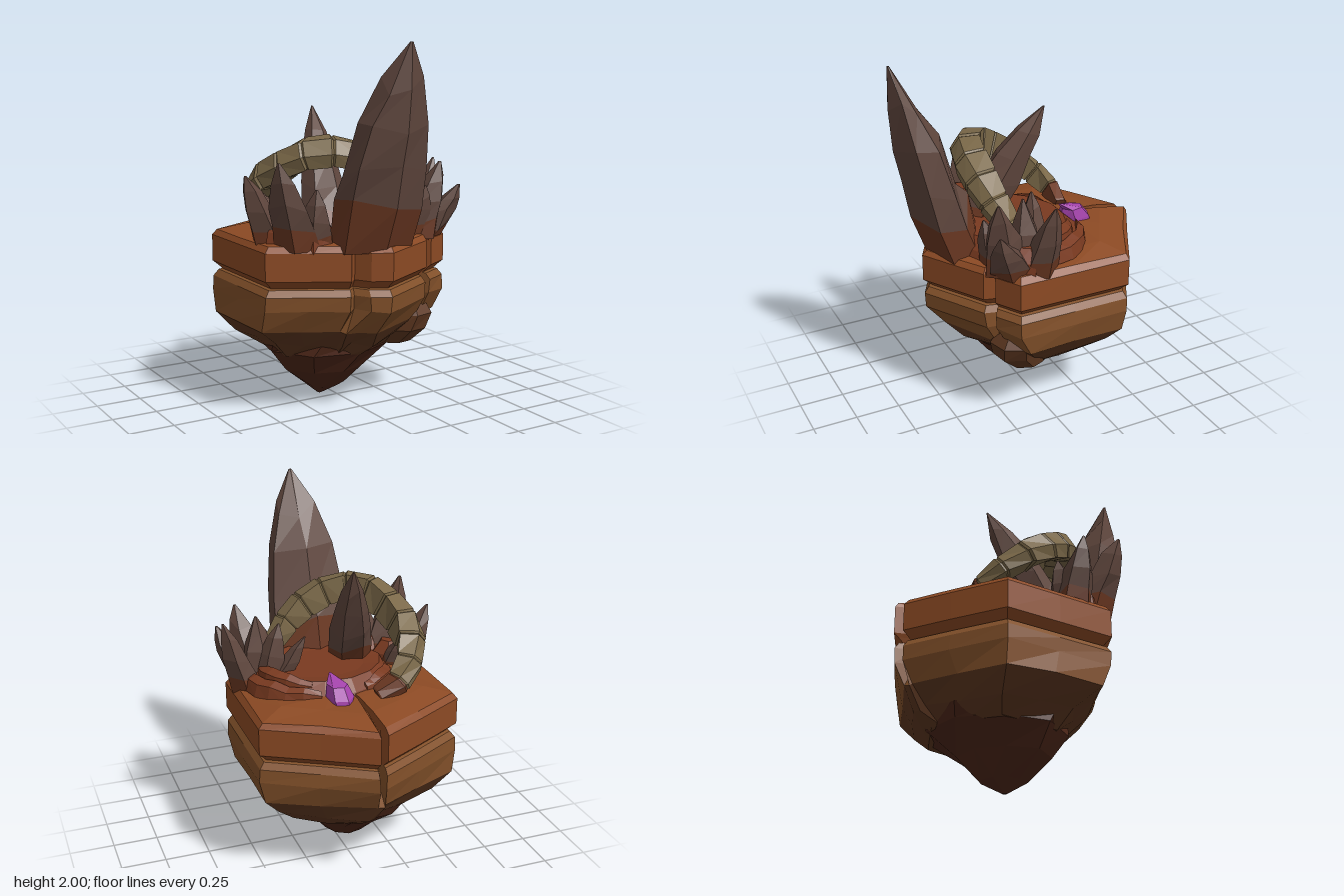
import * as THREE from 'three';

const EARTH = 0x8c4a24, CLAY = 0x83512a, SHADE = 0x5d3720, ROOT = 0x4c2618, MOUND = 0x7a3a20;
const SPIKE = 0x5f463d, SPIKE_BASE = 0x6b3822, HORN = 0x7a6848, GEM = 0xa443ac;

// small seeded noise, -1..1
let seed = 7;
const rnd = () => {
  seed = (seed * 16807) % 2147483647;
  return (seed / 2147483647) * 2 - 1;
};
const V = (x, y, z) => new THREE.Vector3(x, y, z);

// Skin over rings of equal length, closed with a fan at both ends
function loft(name, rings, color) {
  const pos = [];
  const tri = (...p) => p.forEach((v) => pos.push(v.x, v.y, v.z));
  const n = rings[0].length;
  const mid = (r) => r.reduce((s, p) => s.add(p), V(0, 0, 0)).divideScalar(n);
  const first = rings[0], last = rings[rings.length - 1];
  const c0 = mid(first), c1 = mid(last);
  for (let i = 0; i < n; i++) {
    const j = (i + 1) % n;
    for (let k = 0; k + 1 < rings.length; k++) {
      const r = rings[k], s = rings[k + 1];
      tri(r[i], s[i], r[j]);
      tri(r[j], s[i], s[j]);
    }
    tri(c0, first[i], first[j]);
    tri(c1, last[j], last[i]);
  }
  const g = new THREE.BufferGeometry();
  g.setAttribute('position', new THREE.Float32BufferAttribute(pos, 3));
  g.computeVertexNormals();
  const mesh = new THREE.Mesh(g, new THREE.MeshStandardMaterial({ color, flatShading: true }));
  mesh.name = name;
  return mesh;
}

// Hexagonal plan; a third value marks the bottom of a crack and the factor that closes it
const PLAN = [
  [0.55, -0.4], [0.55, -0.08], [0.55, 0.25], [0.41, 0.33], [0.37, 0.29, 1.1], [0.35, 0.37],
  [0, 0.57], [-0.1, 0.515], [-0.15, 0.43, 1.13], [-0.19, 0.465], [-0.38, 0.36], [-0.58, 0.25],
  [-0.58, -0.08], [-0.58, -0.4], [-0.3, -0.56], [-0.05, -0.695], [-0.04, -0.6, 1.18], [0, -0.72], [0.27, -0.56],
];
// One level of the plan: height, scales, centre, noise, drop at the cracks, cracks open or closed
function planRing(y, sx, sz = sx, { cx = -0.01, cz = -0.07, noise = 0, drop = 0, open = true } = {}) {
  return PLAN.map(([x, z, crack]) => {
    const k = crack && !open ? crack : 1;
    return V(
      cx + (x + 0.01) * sx * k + rnd() * noise,
      y + rnd() * noise - (crack ? drop : 0),
      cz + (z + 0.07) * sz * k + rnd() * noise);
  });
}
// Rough round ring
function roundRing(n, y, rx, rz, cx, cz, noise = 0, turn = 0) {
  return Array.from({ length: n }, (_, i) => {
    const a = turn + (i / n) * Math.PI * 2, k = 1 + rnd() * noise;
    return V(cx + Math.cos(a) * rx * k, y, cz + Math.sin(a) * rz * k);
  });
}

// Leaning faceted spike with a redder foot; the profile holds [height, width] pairs
const TALL = [[0, 1], [0.24, 1.04], [0.4, 0.98], [0.6, 0.8], [0.8, 0.5], [1, 0.04]];
const STUBBY = [[0, 1.25], [0.22, 1.15], [0.5, 0.98], [0.76, 0.62], [1, 0.08]];
function spike(name, base, tip, rx, rz, sides, profile, turn = rnd() * 3) {
  const g = new THREE.Group();
  g.name = name;
  const a = V(...base), b = V(...tip);
  const shape = Array.from({ length: sides }, () => 1 + rnd() * 0.08);
  const rings = profile.map(([t, s]) => {
    const c = a.clone().lerp(b, t);
    return roundRing(sides, c.y, rx * s, rz * s, c.x, c.z, 0.04, turn).map((p, i) => {
      p.x = c.x + (p.x - c.x) * shape[i];
      p.z = c.z + (p.z - c.z) * shape[i];
      if (t > 0 && t < 1) p.y += rnd() * rx * 0.25;
      return p;
    });
  });
  g.add(loft('spikeFoot', rings.slice(0, 2), SPIKE_BASE), loft('spikeBlade', rings.slice(1), SPIKE));
  return g;
}

// Tapered ledge following an arc round the mound, angles in radians
function ledge(a0, a1, r, width, top) {
  const rings = Array.from({ length: 8 }, (_, i) => {
    const t = i / 7, a = a0 + (a1 - a0) * t, k = Math.sin(Math.PI * (0.12 + 0.76 * t));
    const at = (d, y) => V(0.06 + Math.cos(a) * (r + d), y, 0.04 + Math.sin(a) * (r + d) * 0.86);
    const h = 0.97 + (top - 0.97) * (0.5 + 0.5 * k) + rnd() * 0.008;
    return [at(-width * 0.5 * k, h), at(width * 0.6 * k, h - 0.02), at(width * k, 0.97), at(-width * k, 0.97)];
  });
  return loft('moundLedge', rings, MOUND);
}

export function createModel() {
  const model = new THREE.Group();
  model.name = 'floatingRock';

  // Upper slab with a domed, cracked top
  model.add(loft('upperSlab', [
    planRing(0.72, 0.9), planRing(0.755, 0.96), planRing(0.775, 1), planRing(0.925, 1),
    planRing(0.955, 0.96, 0.96, { noise: 0.006, drop: 0.05 }),
    planRing(0.985, 0.72, 0.72, { noise: 0.008, drop: 0.04 }),
    planRing(1.0, 0.45, 0.45, { noise: 0.008, drop: 0.03 }),
  ], EARTH));

  // Lower slab, and its shaded underside narrowing downwards
  const waist = planRing(0.48, 0.965, 0.87, { cx: -0.02, cz: -0.1, noise: 0.012, open: false });
  model.add(loft('lowerSlab', [
    waist,
    planRing(0.61, 0.995, 0.985, { cz: -0.075, noise: 0.008 }),
    planRing(0.69, 0.995, 0.99), planRing(0.725, 0.95), planRing(0.735, 0.88),
  ], CLAY));
  model.add(loft('slabUnderside', [
    planRing(0.3, 0.62, 0.56, { cx: -0.01, cz: -0.12, noise: 0.015, open: false }),
    planRing(0.38, 0.79, 0.71, { cx: -0.005, cz: -0.12, noise: 0.018, open: false }),
    waist,
  ], SHADE));

  // Dark root of the rock
  model.add(loft('rockRoot', [
    roundRing(9, 0.004, 0.012, 0.012, -0.07, -0.08),
    roundRing(9, 0.07, 0.12, 0.12, -0.05, -0.08, 0.1),
    roundRing(9, 0.19, 0.25, 0.25, -0.05, -0.07, 0.07, 0.2),
    roundRing(9, 0.31, 0.38, 0.37, -0.03, -0.12, 0.05, 0.1),
    roundRing(9, 0.38, 0.42, 0.4, -0.01, -0.13, 0.03),
  ], ROOT));
  // Bulge under the left front corner
  model.add(loft('cornerBulge', [
    roundRing(7, 0.31, 0.1, 0.1, 0.31, 0.1, 0.08),
    roundRing(7, 0.4, 0.13, 0.14, 0.33, 0.17, 0.06),
    roundRing(7, 0.49, 0.14, 0.14, 0.36, 0.19, 0.05),
    roundRing(7, 0.58, 0.09, 0.09, 0.36, 0.17, 0.05),
  ], SHADE));

  // Mound with a flat dished top and ledges round it
  model.add(loft('mound', [
    roundRing(14, 0.93, 0.44, 0.38, 0.06, 0.04, 0.03),
    roundRing(14, 1.0, 0.4, 0.34, 0.06, 0.04, 0.03),
    roundRing(14, 1.06, 0.34, 0.29, 0.05, 0.05, 0.03),
    roundRing(14, 1.05, 0.25, 0.2, 0.05, 0.05, 0.03),
  ], MOUND));
  model.add(ledge(-1.3, 0.35, 0.4, 0.05, 1.06), ledge(-1.15, 0.3, 0.33, 0.05, 1.1), ledge(-2.9, -2.0, 0.38, 0.05, 1.06));

  // Spikes: base, tip, radii
  model.add(spike('frontSpike', [-0.02, 0.92, 0.385], [0, 2, 0.71], 0.25, 0.155, 6, TALL, Math.PI / 2));
  model.add(spike('innerSpike', [-0.19, 0.95, 0.21], [-0.05, 1.64, -0.19], 0.115, 0.14, 6, TALL));
  [
    [[-0.38, 0.93, 0.25], [-0.55, 1.4, 0.35], 0.105],
    [[-0.3, 0.93, 0.27], [-0.33, 1.25, 0.35], 0.08],
    [[-0.46, 0.93, 0.09], [-0.6, 1.31, 0.07], 0.085],
    [[-0.41, 0.95, 0.1], [-0.46, 1.2, 0.0], 0.075],
    [[0.36, 0.93, 0.24], [0.46, 1.35, 0.33], 0.105],
    [[0.41, 0.93, 0.23], [0.56, 1.22, 0.37], 0.095],
    [[0.3, 0.93, 0.26], [0.34, 1.23, 0.36], 0.08],
    [[0.46, 0.93, 0.1], [0.595, 1.34, 0.08], 0.08],
    [[0.38, 0.95, 0.14], [0.39, 1.33, 0.16], 0.08],
    [[0.36, 0.95, 0.1], [0.29, 1.31, 0.06], 0.075],
    [[0.3, 0.97, 0.08], [0.16, 1.24, 0], 0.06],
  ].forEach(([b, t, r]) => model.add(spike('sideSpike', b, t, r, r, 5, STUBBY)));
  // Boulders at the feet of the spike clusters
  [[-0.3, 0.28], [-0.42, 0.17], [0.31, 0.26], [0.42, 0.17]].forEach(([x, z], i) => model.add(loft('boulder', [
    roundRing(6, 0.92, 0.12, 0.1, x, z, 0.1, i),
    roundRing(6, 1.02, 0.11, 0.09, x, z, 0.1, i),
    roundRing(6, 1.09, 0.06, 0.05, x, z, 0.1, i),
  ], MOUND)));

  // Curved horn made of separate blocks along an arch, bevelled on its outer edge
  const path = new THREE.CatmullRomCurve3([
    V(-0.13, 0.99, -0.35), V(-0.25, 1.05, -0.35), V(-0.36, 1.15, -0.26), V(-0.405, 1.26, -0.11),
    V(-0.36, 1.35, 0.04), V(-0.26, 1.42, 0.17), V(-0.1, 1.42, 0.25), V(0.1, 1.33, 0.26),
    V(0.25, 1.2, 0.22), V(0.36, 1.05, 0.14),
  ]);
  const horn = new THREE.Group();
  horn.name = 'archedHorn';
  const COUNT = 12;
  const hornRing = (u, k) => {
    const c = path.getPointAt(u), t = path.getTangentAt(u);
    const side = t.clone().cross(V(0, 1, 0)).normalize(), up = side.clone().cross(t);
    const w = (0.04 + 0.046 * Math.min(1, 3.5 * Math.min(u, 1 - u))) * k;
    return [[0.8, -0.9], [1, -0.1], [0.45, 0.8], [-0.9, 0.95], [-1, -0.8]].map(([s, h]) =>
      c.clone().addScaledVector(side, s * w).addScaledVector(up, h * w));
  };
  for (let i = 0; i < COUNT; i++) {
    const u = i / COUNT, k = 1 + rnd() * 0.05, d = 1 / COUNT;
    horn.add(loft('hornBlock', [
      hornRing(u, 0.88 * k), hornRing(u + d * 0.07, k),
      hornRing(u + d * 0.93, k), hornRing(u + d, 0.88 * k),
    ], i === 0 ? SPIKE_BASE : HORN));
  }
  model.add(horn);

  // Purple gem lying against the mound
  model.add(loft('gem', [
    roundRing(6, 0.96, 0.06, 0.08, 0.08, -0.34),
    roundRing(6, 1.01, 0.072, 0.1, 0.075, -0.325, 0.08, 0.3),
    roundRing(6, 1.07, 0.055, 0.065, 0.08, -0.3, 0.08, 0.3),
    roundRing(6, 1.105, 0.006, 0.01, 0.095, -0.22),
  ], GEM));

  return model;
}
